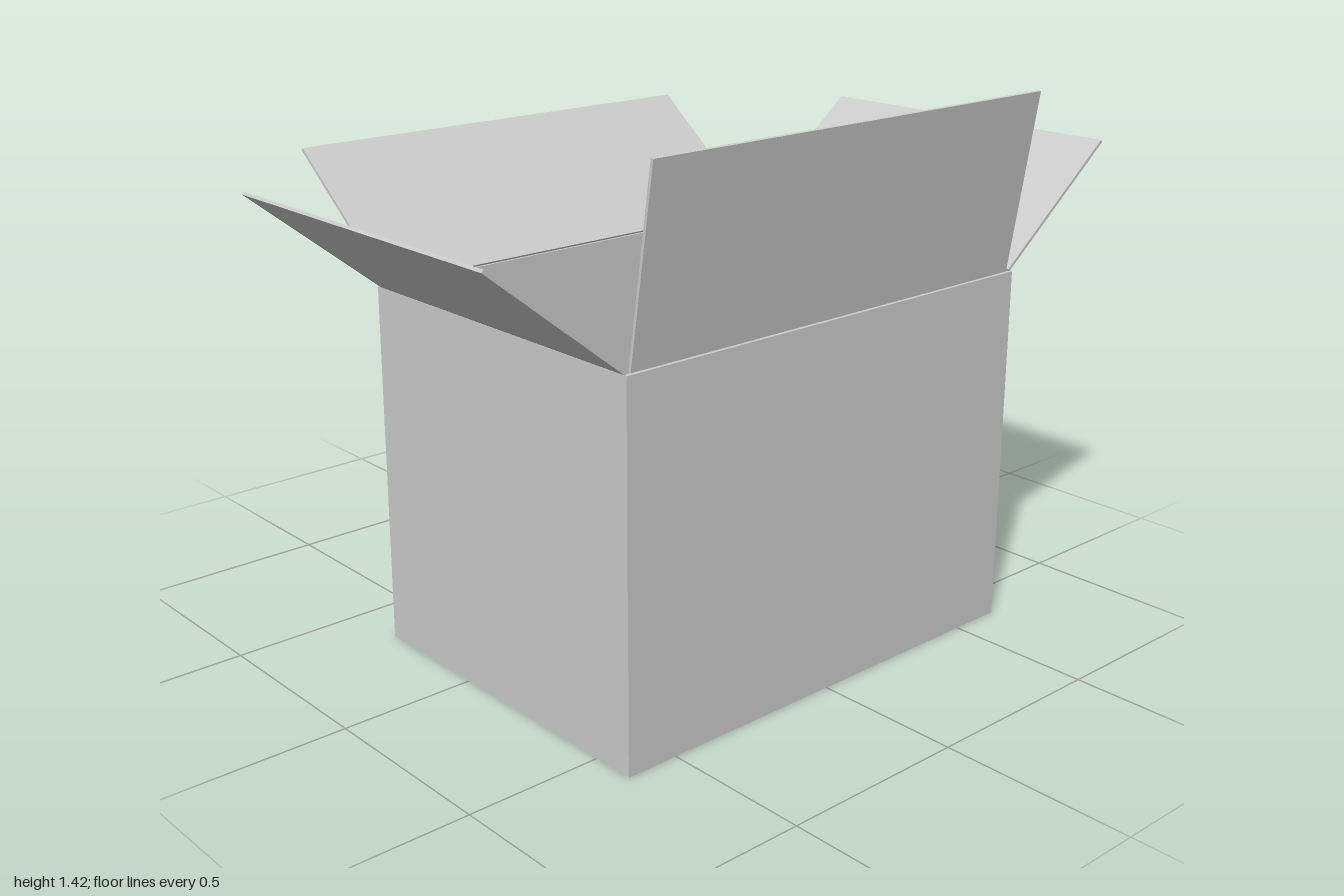
import * as THREE from 'three';

export function createModel() {
  const model = new THREE.Group();
  model.name = 'openCarton';
  const material = new THREE.MeshStandardMaterial({ color: 0xcccccc, flatShading: true });

  const T = 0.012; // board thickness
  const H = 0.95; // wall height
  const X0 = -0.33, X1 = 0.613, Z = 0.642;
  const W = X1 - X0, CX = (X0 + X1) / 2;

  function board(name, w, h, d, x, y, z) {
    const mesh = new THREE.Mesh(new THREE.BoxGeometry(w, h, d), material);
    mesh.name = name;
    mesh.position.set(x, y, z);
    model.add(mesh);
  }

  // Floor and four walls
  board('floor', W - 2 * T, T, 2 * (Z - T), CX, T / 2, 0);
  board('frontWall', W, H, T, CX, H / 2, Z - T / 2);
  board('backWall', W, H, T, CX, H / 2, -Z + T / 2);
  board('leftWall', T, H, 2 * (Z - T), X1 - T / 2, H / 2, 0);
  board('rightWall', T, H, 2 * (Z - T), X0 + T / 2, H / 2, 0);

  // Flap hinged on a wall's top edge: it leans outward by run while climbing rise
  function flap(name, width, run, rise, yaw, x, z) {
    const length = Math.hypot(run, rise);
    const geometry = new THREE.BoxGeometry(width, length, 0.008);
    geometry.translate(0, length / 2, 0);
    const mesh = new THREE.Mesh(geometry, material);
    mesh.name = name;
    mesh.rotation.set(Math.atan2(run, rise), yaw, 0, 'YXZ');
    mesh.position.set(x, H + 0.002, z);
    model.add(mesh);
  }

  const flapW = 0.925, flapX = 0.144, hingeZ = Z - 0.005;
  flap('frontFlap', flapW, 0.36, 0.286, 0, flapX, hingeZ);
  flap('backFlap', flapW, 0.36, 0.286, Math.PI, flapX, -hingeZ);
  flap('leftFlap', 1.25, 0.073, 0.467, Math.PI / 2, X1 - 0.01, 0);
  flap('rightFlap', 1.25, 0.36, 0.286, -Math.PI / 2, X0 + 0.006, 0);

  return model;
}
